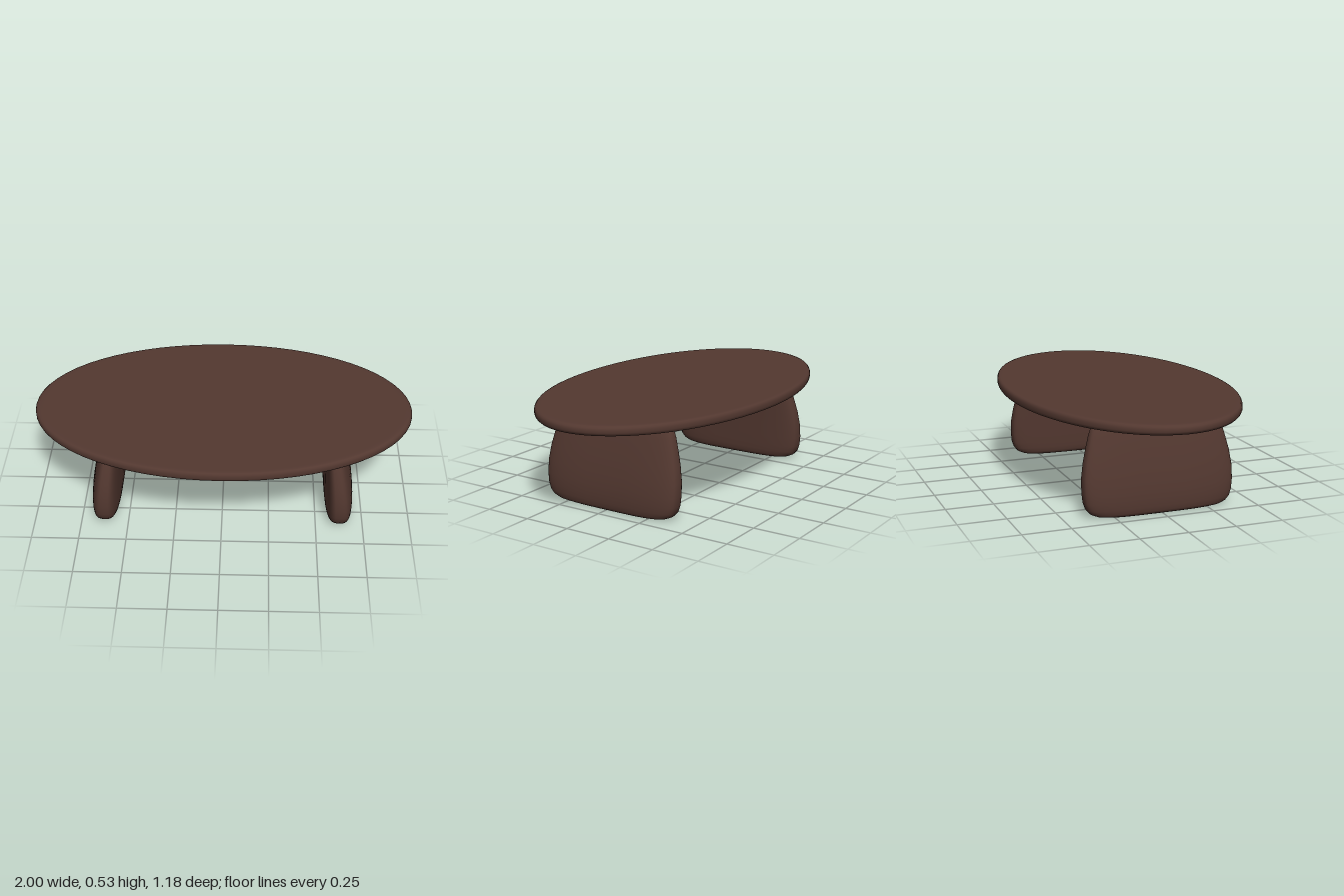
import * as THREE from 'three';

const wood = new THREE.MeshStandardMaterial({ color: 0x533830 });
wood.name = 'dark brown wood';

// Oval top: a rounded disc profile turned round and squeezed in z
function makeTop() {
  const profile = [
    [0, 0.478], [0.95, 0.478], [0.975, 0.478], [0.988, 0.481], [0.996, 0.488], [1, 0.497],
    [1, 0.511], [0.996, 0.52], [0.988, 0.527], [0.975, 0.53], [0.95, 0.53], [0, 0.53],
  ].map(([r, y]) => new THREE.Vector2(r, y));
  const geometry = new THREE.LatheGeometry(profile, 64);
  geometry.scale(1, 1, 0.588);
  const top = new THREE.Mesh(geometry, wood);
  top.name = 'tableTop';
  return top;
}

// Leg sections from floor to top: height, inner x, outer x, half depth
const sections = [
  [0.003, 0.59, 0.66, 0.24], [0.003, 0.568, 0.682, 0.3], [0.009, 0.56, 0.692, 0.335],
  [0.022, 0.554, 0.698, 0.365], [0.045, 0.551, 0.701, 0.385], [0.08, 0.549, 0.702, 0.396],
  [0.13, 0.547, 0.7, 0.401], [0.2, 0.545, 0.691, 0.4], [0.28, 0.542, 0.676, 0.388],
  [0.36, 0.538, 0.658, 0.368], [0.41, 0.536, 0.645, 0.354], [0.44, 0.536, 0.637, 0.342],
  [0.457, 0.539, 0.63, 0.328], [0.468, 0.547, 0.62, 0.3], [0.476, 0.562, 0.604, 0.22],
];

// Soft slab leg lofted through rounded-rectangle sections; side is +1 or -1
function makeLeg(side) {
  const n = 48;
  const soften = (v, power) => Math.sign(v) * Math.abs(v) ** power;
  const positions = [];
  const index = [];
  for (const [y, inner, outer, depth] of sections) {
    for (let i = 0; i < n; i++) {
      const a = (i / n) * Math.PI * 2;
      const x = (inner + outer) / 2 + ((outer - inner) / 2) * soften(Math.cos(a), 0.6);
      positions.push(side * x, y, depth * soften(Math.sin(a), 0.6));
    }
  }
  const tri = (a, b, c) => (side > 0 ? index.push(a, b, c) : index.push(a, c, b));
  for (let s = 0; s < sections.length - 1; s++) {
    for (let i = 0; i < n; i++) {
      const a = s * n + i;
      const b = s * n + ((i + 1) % n);
      tri(a, a + n, b);
      tri(b, a + n, b + n);
    }
  }
  // End caps
  const last = (sections.length - 1) * n;
  for (let i = 1; i < n - 1; i++) {
    tri(0, i, i + 1);
    tri(last, last + i + 1, last + i);
  }
  const geometry = new THREE.BufferGeometry();
  geometry.setAttribute('position', new THREE.Float32BufferAttribute(positions, 3));
  geometry.setIndex(index);
  geometry.computeVertexNormals();
  const leg = new THREE.Mesh(geometry, wood);
  leg.name = side > 0 ? 'leftLeg' : 'rightLeg';
  return leg;
}

export function createModel() {
  const table = new THREE.Group();
  table.name = 'ovalTable';
  table.add(makeTop(), makeLeg(1), makeLeg(-1));
  return table;
}
